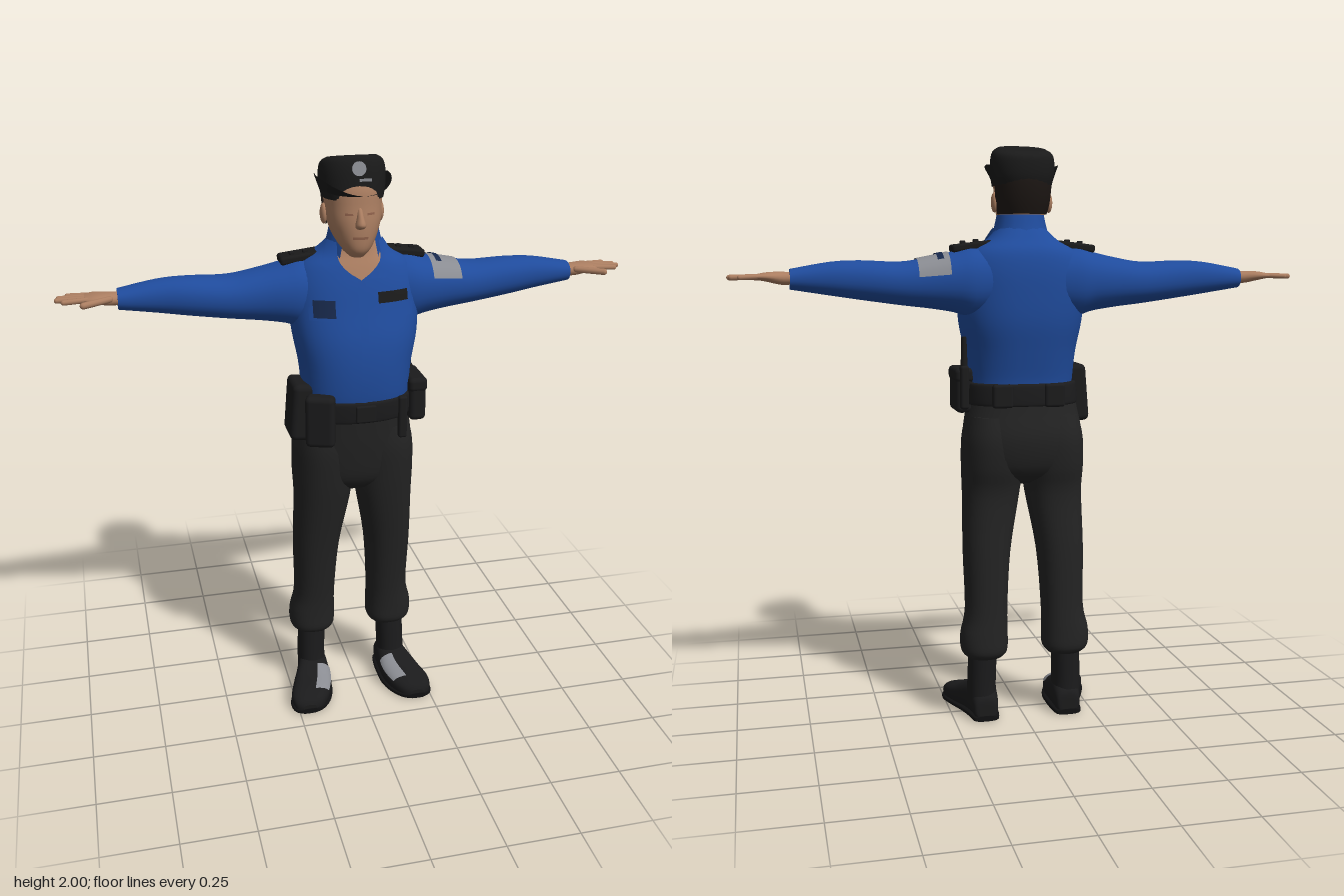
import * as THREE from 'three';
import { RoundedBoxGeometry } from 'three/addons/geometries/RoundedBoxGeometry.js';

const mat = (name, color, side = THREE.FrontSide) => {
  const m = new THREE.MeshStandardMaterial({ color, side });
  m.name = name;
  return m;
};

// Grid surface from fn(i, j) -> [x, y, z]; optionally closed round i and capped at both ends
function grid(fn, nu, nv, closed, caps) {
  const pos = [], idx = [], w = closed ? nu : nu + 1;
  for (let j = 0; j <= nv; j++) for (let i = 0; i < w; i++) pos.push(...fn(i / nu, j / nv));
  for (let j = 0; j < nv; j++) for (let i = 0; i < nu; i++) {
    const k = (i + 1) % w, a = j * w + i, b = j * w + k;
    idx.push(a, b, a + w, b, b + w, a + w);
  }
  if (caps) for (const end of [0, 1]) {
    const base = pos.length / 3, c = [0, 0, 0];
    for (let i = 0; i < nu; i++) {
      const p = fn(i / nu, end);
      pos.push(...p);
      p.forEach((q, k) => { c[k] += q / nu; });
    }
    pos.push(...c);
    for (let i = 0; i < nu; i++) {
      const a = base + i, b = base + (i + 1) % nu;
      idx.push(...(end ? [a, b, base + nu] : [b, a, base + nu]));
    }
  }
  const g = new THREE.BufferGeometry();
  g.setAttribute('position', new THREE.Float32BufferAttribute(pos, 3));
  g.setIndex(idx);
  g.computeVertexNormals();
  return g;
}

// Smooth interpolation between sections, v counted in section numbers
function sample(S, v) {
  const n = S.length - 1, i = Math.min(Math.floor(v), n - 1), f = v - i;
  const at = k => S[Math.max(0, Math.min(n, k))];
  return S[i].map((p1, c) => {
    const p0 = at(i - 1)[c], p2 = at(i + 1)[c], p3 = at(i + 2)[c];
    return p1 + 0.5 * f * (p2 - p0 + f * (2 * p0 - 5 * p1 + 4 * p2 - p3 + f * (3 * (p1 - p2) + p3 - p0)));
  });
}

// Sections are [t, a0, a1, b0, b1]: y-axis a=z b=x, x-axis a=y b=z, z-axis a=x b=y
function point(axis, S, th, v, off, n) {
  const [t, a0, a1, b0, b1] = sample(S, v);
  const pw = q => Math.sign(q) * Math.abs(q) ** (2 / n);
  const a = (a0 + a1) / 2 + ((a1 - a0) / 2 + off) * pw(Math.cos(th));
  const b = (b0 + b1) / 2 + ((b1 - b0) / 2 + off) * pw(Math.sin(th));
  return axis === 'y' ? [b, t, a] : axis === 'x' ? [t, a, b] : [a, b, t];
}
const loft = (axis, S, n = 2.2, nu = 32) =>
  grid((u, v) => point(axis, S, u * Math.PI * 2, v * (S.length - 1), 0, n), nu, (S.length - 1) * 4, true, true);

// Thin patch lying just above a loft; range(v) gives the angles at each level
const patch = (axis, S, v0, v1, range, off = 0.005, n = 2.2) =>
  grid((u, v) => {
    const [r0, r1] = typeof range === 'function' ? range(v) : range;
    return point(axis, S, r0 + (r1 - r0) * u, v0 + (v1 - v0) * v, off, n);
  }, 12, 8);

function mirrored(g) {
  const m = g.clone(), p = m.attributes.position, ix = m.index.array;
  for (let i = 0; i < p.count; i++) p.setX(i, -p.getX(i));
  for (let i = 0; i < ix.length; i += 3) [ix[i], ix[i + 1]] = [ix[i + 1], ix[i]];
  m.computeVertexNormals();
  return m;
}

const TORSO = [[1.14, -.14, .13, -.18, .175], [1.2, -.14, .145, -.187, .18], [1.3, -.16, .15, -.195, .19],
  [1.4, -.18, .14, -.212, .212], [1.5, -.185, .112, -.22, .22], [1.58, -.183, .09, -.215, .215],
  [1.64, -.17, .068, -.185, .185], [1.68, -.14, .05, -.12, .12], [1.72, -.11, .04, -.08, .08]];
const ARM = [[.1, 1.43, 1.65, -.165, .045], [.18, 1.42, 1.655, -.175, .055], [.24, 1.437, 1.64, -.17, .05],
  [.32, 1.45, 1.622, -.16, .035], [.42, 1.462, 1.606, -.15, .022], [.55, 1.48, 1.61, -.135, .008],
  [.65, 1.495, 1.605, -.125, -.008], [.78, 1.515, 1.582, -.108, -.02]];
const PALM = [[.75, 1.535, 1.57, -.09, -.035], [.8, 1.53, 1.573, -.098, -.027], [.85, 1.54, 1.572, -.115, -.02],
  [.885, 1.547, 1.566, -.114, -.03]];
const LEG = [[.225, -.12, -.005, .085, .205], [.25, -.14, .015, .066, .228], [.31, -.14, .018, .064, .23],
  [.4, -.135, .025, .064, .212], [.6, -.13, .055, .05, .215], [.8, -.122, .09, .014, .212],
  [.9, -.145, .105, .002, .215], [1, -.155, .115, 0, .212], [1.08, -.14, .11, .01, .195]];
const HIPS = [[.84, -.07, .06, -.1, .1], [.89, -.14, .1, -.19, .19], [1, -.167, .12, -.21, .21],
  [1.1, -.152, .13, -.196, .196], [1.17, -.14, .135, -.185, .185]];
const FOOT = [[-.118, .125, .175, .01, .06], [-.11, .108, .192, 0, .09], [-.06, .1, .202, 0, .125],
  [0, .098, .22, 0, .115], [.06, .1, .245, 0, .088], [.12, .118, .263, 0, .072], [.165, .15, .255, 0, .055],
  [.18, .18, .23, .005, .035]];
const SOLE = FOOT.map(([z, a, b]) => [z * 1.01, a - .004, b + .004, 0, .02]);
const HEAD = [[1.675, -.01, .08, -.025, .025], [1.7, -.05, .1, -.05, .05], [1.74, -.08, .106, -.072, .072],
  [1.79, -.1, .106, -.088, .088], [1.84, -.112, .1, -.093, .093], [1.89, -.115, .095, -.095, .095],
  [1.93, -.1, .08, -.085, .085]];
const CROWN = [[1.86, -.117, .092, -.1, .1], [1.9, -.125, .09, -.107, .107], [1.95, -.127, .085, -.108, .108],
  [1.985, -.122, .075, -.1, .1], [2, -.1, .06, -.08, .08]];

export function createModel() {
  const root = new THREE.Group();
  const DS = THREE.DoubleSide;
  const blue = mat('shirtBlue', 0x1f4b9c, DS), navy = mat('badgeNavy', 0x17284a, DS);
  const cloth = mat('trouserBlack', 0x232323), leather = mat('leatherBlack', 0x1b1b1c);
  const felt = mat('capBlack', 0x1a1a1a, DS), skin = mat('skin', 0xab7e61, DS);
  const lip = mat('lipBrown', 0x8d604a, DS), hairMat = mat('hairDark', 0x1d1714, DS);
  const grey = mat('patchGrey', 0x8a8c92, DS), sole = mat('soleBlack', 0x111112);

  const add = (name, geo, m, parent = root) => {
    const o = new THREE.Mesh(geo, m);
    o.name = name;
    parent.add(o);
    return o;
  };
  const pair = (name, geo, m, parent) => {
    add(name + 'Left', geo, m, parent);
    add(name + 'Right', mirrored(geo), m, parent);
  };
  const box = (name, size, at, m, r = .015, rotZ = 0, rotY = 0) => {
    const o = add(name, new RoundedBoxGeometry(...size, 3, r), m);
    o.position.set(...at);
    o.rotation.set(0, rotY, rotZ);
    return o;
  };

  // Legs and boots
  const legs = new THREE.Group();
  legs.name = 'legs';
  legs.position.x = -.008;
  root.add(legs);
  add('hips', loft('y', HIPS, 2.3), cloth, legs);
  pair('trouserLeg', loft('y', LEG, 2.3), cloth, legs);
  pair('bootShaft', loft('y', [[.05, -.113, .02, .1, .205], [.12, -.11, .01, .105, .205], [.27, -.112, 0, .1, .2]]), leather, legs);
  pair('bootFoot', loft('z', FOOT, 2.6), leather, legs);
  pair('bootSole', loft('z', SOLE, 4), sole, legs);
  pair('bootShine', patch('z', FOOT, 3.4, 5.2, [1.75, 2.75], .003, 2.6), grey, legs);

  // Shirt
  add('shirtTorso', loft('y', TORSO, 2.4, 40), blue);
  pair('sleeve', loft('x', ARM), blue);
  add('shirtPlacket', patch('y', TORSO, .6, 5.3, [-.035, .035], .004, 2.4), blue);
  pair('pocketFlap', patch('y', TORSO, 3.75, 4.2, [.3, .82], .008, 2.4), blue);
  add('nameBadge', patch('y', TORSO, 4.3, 4.75, [.17, .7], .009, 2.4), felt);
  add('chestBadge', patch('y', TORSO, 3.85, 4.5, [-.72, -.34], .01, 2.4), navy);
  add('openNeck', patch('y', TORSO, 5.3, 8, v => [-.9 * v, .9 * v], .004, 2.4), skin);
  pair('lapel', patch('y', TORSO, 5.4, 8, v => [.04 + .75 * v, .3 + 1.1 * v], .014, 2.4), blue);
  add('collar', patch('y', [[1.655, -.14, .07, -.11, .11], [1.71, -.118, .068, -.092, .092], [1.762, -.105, .055, -.08, .08]],
    0, 2, [.62, Math.PI * 2 - .62], 0), blue);
  add('sleevePatch', patch('x', ARM, 2.3, 3.5, [-1.35, 1.2], .005), grey);
  add('sleevePatchStripe', patch('x', ARM, 2.55, 2.8, [-.7, .5], .008), navy);

  // Shoulder boards
  for (const s of [-1, 1]) {
    box('shoulderBoard', [.14, .028, .08], [s * .178, 1.656, -.06], felt, .01, -s * .12);
    for (const k of [0, 1]) box('boardStud', [.018, .012, .018], [s * (.16 + k * .045), 1.675 - k * .005, -.05], leather, .004);
  }

  // Hands
  pair('palm', loft('x', PALM, 2.2, 20), skin);
  const digits = [[.87, -.102, .942, -.117, .008], [.87, -.083, .97, -.088, .009], [.87, -.062, .976, -.064, .009],
    [.87, -.041, .955, -.035, .009], [.8, -.035, .895, .018, .011]];
  for (const s of [-1, 1]) for (const [x0, z0, x1, z1, r] of digits) {
    const d = new THREE.Vector3(s * (x1 - x0), -.003, z1 - z0);
    const f = add('finger', new THREE.CapsuleGeometry(r, d.length() - r, 4, 10), skin);
    f.position.set(s * (x0 + x1) / 2, 1.556, (z0 + z1) / 2);
    f.quaternion.setFromUnitVectors(new THREE.Vector3(0, 1, 0), d.normalize());
  }

  // Head
  const head = new THREE.Group();
  head.name = 'head';
  head.position.x = -.008;
  root.add(head);
  add('neck', loft('y', [[1.62, -.1, .05, -.07, .07], [1.7, -.085, .04, -.06, .06], [1.78, -.085, .05, -.06, .06]]), skin, head);
  add('face', loft('y', HEAD, 2.2), skin, head);
  add('nose', loft('y', [[1.772, .08, .108, -.014, .014], [1.785, .08, .13, -.018, .018], [1.81, .08, .12, -.012, .012],
    [1.84, .08, .1, -.008, .008]], 2, 14), skin, head);
  add('mouth', patch('y', HEAD, 1.98, 2.16, [-.3, .3], .003), lip, head);
  pair('eye', patch('y', HEAD, 3.52, 3.66, [.22, .5], .002), lip, head);
  add('hair', patch('y', HEAD, 2.5, 5.2, [1.8, Math.PI * 2 - 1.8], .007), hairMat, head);
  for (const s of [-1, 1]) {
    const ear = add('ear', new THREE.SphereGeometry(1, 16, 12), skin, head);
    ear.scale.set(.012, .034, .021);
    ear.position.set(s * .095, 1.805, -.015);
  }

  // Cap: crown sloping to the back, brim turned up at the sides
  const crown = loft('y', CROWN, 2.3, 40), p = crown.attributes.position;
  for (let i = 0; i < p.count; i++) {
    const k = Math.max(0, (p.getY(i) - 1.86) / .14);
    p.setY(i, p.getY(i) + (p.getZ(i) - .06) * .2 * k);
  }
  crown.computeVertexNormals();
  add('capCrown', crown, felt, head);
  add('capBrim', grid((u, v) => {
    const th = (u - .5) * 4, c = Math.cos(th), s = Math.sin(th);
    const inner = [.1 * s, 1.866 + .006 * c, -.02 + .105 * c];
    const outer = [.123 * s, 1.893 + .037 * s * s, -.02 + (c > 0 ? .205 : .11) * c];
    return inner.map((q, k) => q + (outer[k] - q) * v);
  }, 32, 4), felt, head);
  const emblem = add('capEmblem', new THREE.CylinderGeometry(.023, .023, .008, 20), grey, head);
  emblem.rotation.x = Math.PI / 2 - .2;
  emblem.position.set(0, 1.96, .083);
  const bar = add('capBar', new THREE.BoxGeometry(.04, .008, .006), grey, head);
  bar.position.set(.02, 1.925, .09);

  // Belt and gear
  add('belt', loft('y', [[1.12, -.16, .145, -.2, .19], [1.13, -.165, .152, -.204, .194], [1.185, -.162, .155, -.2, .192],
    [1.195, -.155, .15, -.195, .187]], 2.3), leather);
  box('buckle', [.07, .06, .02], [0, 1.157, .152], leather, .006);
  box('holster', [.07, .2, .14], [-.205, 1.15, .02], leather, .02, -.08);
  box('frontPouch', [.1, .18, .06], [-.15, 1.135, .125], leather, .018, 0, -.35);
  box('hipPouch', [.06, .15, .15], [.2, 1.165, .02], leather, .018);
  box('hipPouchFlap', [.066, .05, .156], [.2, 1.22, .02], leather, .016);
  box('keyHolder', [.03, .15, .025], [.135, 1.125, .125], leather, .008);
  for (const x of [-.09, .09]) box('backPouch', [.07, .08, .03], [x, 1.157, -.155], leather, .01);
  box('radioBody', [.03, .15, .04], [.203, 1.18, -.055], leather, .01);
  const aerial = add('radioAerial', new THREE.CylinderGeometry(.009, .013, .13, 12), leather);
  aerial.position.set(.203, 1.288, -.055);
  return root;
}
